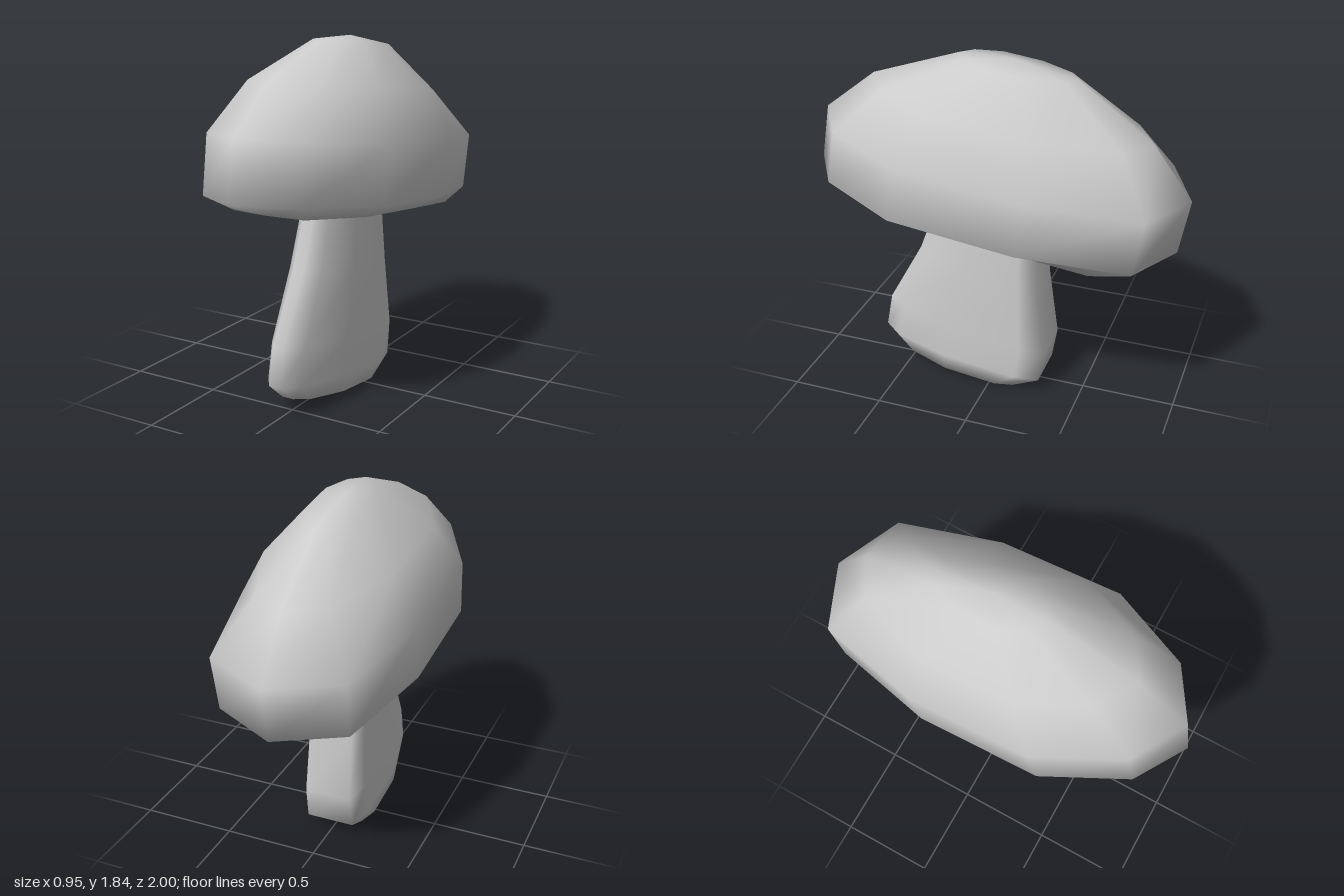
import * as THREE from 'three';

const material = new THREE.MeshStandardMaterial({ color: 0xcccccc });

// Mirrors a half outline (front to back on +x) into a closed loop.
function mirrorOutline(half) {
  const other = half.filter(([x]) => x > 0).reverse().map(([x, z]) => [-x, z]);
  return [...half, ...other];
}

// Skins tilted rings, bottom to top, and closes both ends with a centre point.
// ring: [outline, front z, front y, back z, back y, half width]
function loft(name, rings, bottom, top) {
  const n = rings[0][0].length;
  const pos = [];
  const index = [];
  for (const [outline, zf, yf, zb, yb, w] of rings) {
    for (const [x, z] of outline) {
      const t = (1 - z) / 2;
      pos.push(x * w, THREE.MathUtils.lerp(yf, yb, t), THREE.MathUtils.lerp(zf, zb, t));
    }
  }
  const b = rings.length * n;
  pos.push(...bottom, ...top);
  const last = (rings.length - 1) * n;
  for (let i = 0; i < n; i++) {
    const j = (i + 1) % n;
    for (let r = 0; r < last; r += n) {
      index.push(r + i, r + j, r + n + j, r + i, r + n + j, r + n + i);
    }
    index.push(b, j, i, b + 1, last + i, last + j);
  }
  const geometry = new THREE.BufferGeometry();
  geometry.setAttribute('position', new THREE.Float32BufferAttribute(pos, 3));
  geometry.setIndex(index);
  geometry.computeVertexNormals();
  const mesh = new THREE.Mesh(geometry, material);
  mesh.name = name;
  return mesh;
}

export function createModel() {
  const group = new THREE.Group();
  group.name = 'mushroom';

  // Long tilted cap: squarish lip, pointed brim and narrowing crown
  const lip = mirrorOutline([
    [0, 1], [0.6, 0.96], [1, 0.45], [1, -0.3], [0.97, -0.9], [0, -1],
  ]);
  const brim = mirrorOutline([
    [0, 1], [0.57, 0.83], [1, 0.4], [1, -0.28], [0.72, -0.84], [0, -1],
  ]);
  const crown = mirrorOutline([
    [0, 1], [0.57, 0.83], [1, 0.4], [0.97, -0.28], [0.52, -0.84], [0, -1],
  ]);
  group.add(loft('cap', [
    [lip, 0.5, 1.13, -0.48, 1.02, 0.24],
    [lip, 0.71, 1.07, -0.65, 0.9, 0.33],
    [brim, 1.0, 1.18, -0.95, 0.94, 0.465],
    [brim, 0.95, 1.47, -1.0, 1.23, 0.475],
    [crown, 0.67, 1.69, -0.8, 1.5, 0.355],
    [crown, 0.2, 1.85, -0.41, 1.78, 0.14],
  ], [0, 1.1, 0], [0, 1.85, -0.08]));

  // Flat stem with a narrow front and blunt back, wider towards a slanted foot
  const section = mirrorOutline([
    [0.2, 1], [0.62, 0.8], [1, 0.15], [1, -0.72], [0.78, -1],
  ]);
  group.add(loft('stem', [
    [section, 0.54, 0.09, -0.13, 0.01, 0.16],
    [section, 0.655, 0.19, -0.28, 0.08, 0.165],
    [section, 0.62, 0.38, -0.31, 0.26, 0.16],
    [section, 0.43, 0.73, -0.26, 0.63, 0.15],
    [section, 0.32, 1.03, -0.245, 0.95, 0.13],
    [section, 0.28, 1.2, -0.23, 1.15, 0.12],
  ], [0, 0.05, 0.2], [0, 1.2, 0.03]));

  return group;
}
